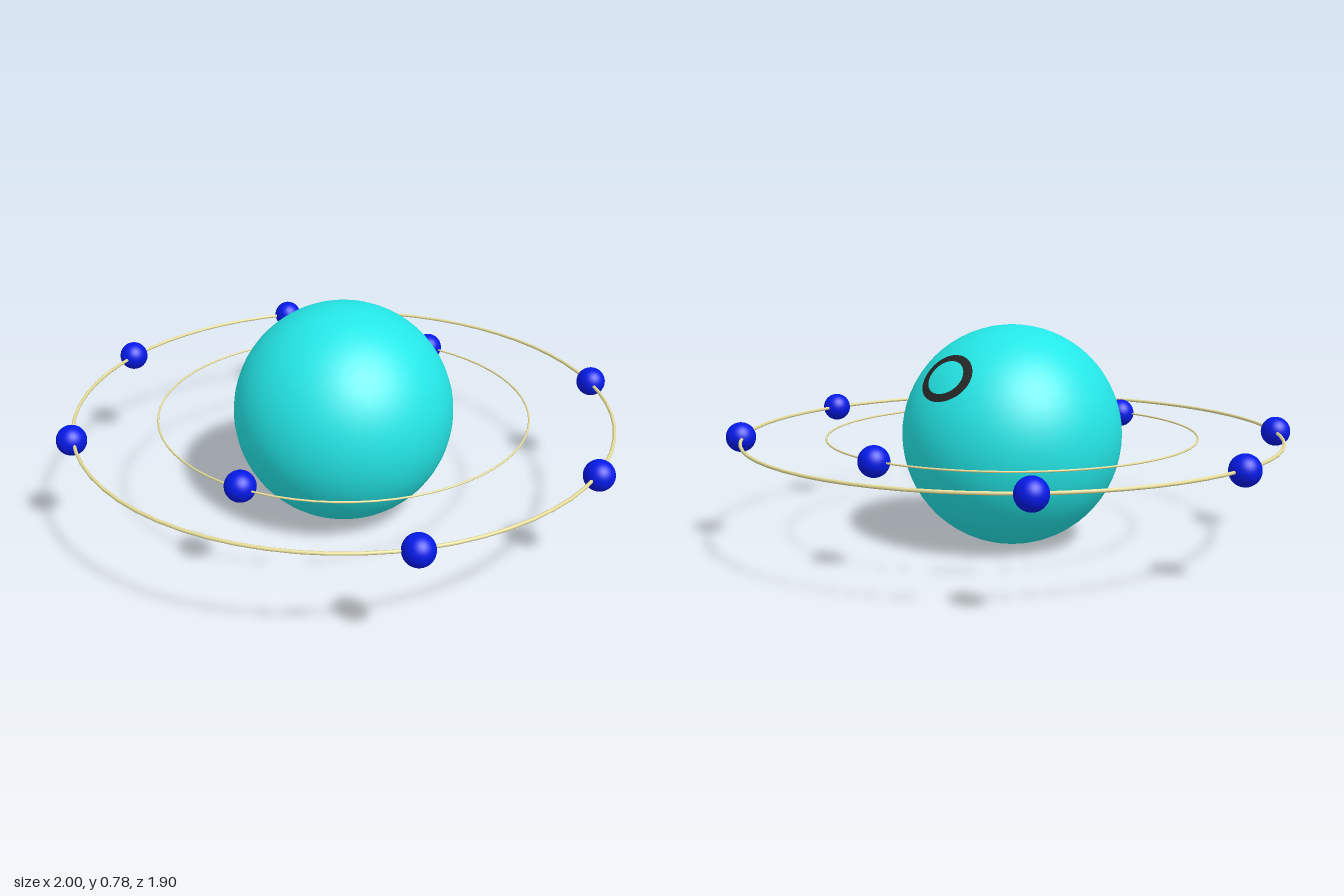
import * as THREE from 'three';

const CENTRE_Y = 0.39;
const NUCLEUS_R = 0.388;
const ELECTRON_R = 0.052;

function material(name, color) {
  const m = new THREE.MeshStandardMaterial({ color });
  m.name = name;
  return m;
}

function addMesh(parent, name, geometry, mat) {
  const mesh = new THREE.Mesh(geometry, mat);
  mesh.name = name;
  parent.add(mesh);
  return mesh;
}

// Thin oval band, facing local +z, pressed onto the nucleus surface
function surfaceBand(halfWidth, halfHeight, innerRatio) {
  const band = new THREE.RingGeometry(innerRatio, 1, 48, 4);
  band.scale(halfWidth, halfHeight, 1);
  const p = band.attributes.position;
  const R = NUCLEUS_R + 0.0015;
  for (let i = 0; i < p.count; i++) {
    p.setZ(i, Math.sqrt(R * R - p.getX(i) ** 2 - p.getY(i) ** 2));
  }
  band.computeVertexNormals();
  return band;
}

export function createModel() {
  const model = new THREE.Group();
  model.name = 'atomModel';

  const turquoise = material('turquoise', 0x25eaea);
  const blue = material('deepBlue', 0x041aea);
  const wire = material('paleYellowWire', 0xf0e6a0);
  const dark = material('charcoal', 0x262626);

  const atom = new THREE.Group();
  atom.name = 'atom';
  atom.position.y = CENTRE_Y;
  model.add(atom);

  // Central ball
  addMesh(atom, 'nucleus', new THREE.SphereGeometry(NUCLEUS_R, 48, 32), turquoise);

  // Dark oval ring marking on the upper back of the nucleus
  const mark = addMesh(atom, 'ringMarking', surfaceBand(0.112, 0.092, 0.7), dark);
  mark.lookAt(0.027, CENTRE_Y + 0.229, -0.305);

  // Orbits: wire ring plus the electrons riding on it, given as [x, z]
  const orbits = [
    { name: 'innerOrbit', radius: 0.652, tube: 0.0035, electrons: [[0, -0.657], [0, 0.64]] },
    {
      name: 'outerOrbit', radius: 0.943, tube: 0.006,
      electrons: [
        [-0.948, 0], [0.948, 0],
        [-0.67, -0.674], [0.67, -0.674],
        [-0.67, 0.67], [0.655, 0.686],
      ],
    },
  ];
  const electronGeometry = new THREE.SphereGeometry(ELECTRON_R, 32, 20);
  for (const { name, radius, tube, electrons } of orbits) {
    const orbit = new THREE.Group();
    orbit.name = name;
    atom.add(orbit);
    const ring = addMesh(orbit, name + 'Ring', new THREE.TorusGeometry(radius, tube, 8, 64), wire);
    ring.rotation.x = Math.PI / 2;
    electrons.forEach(([x, z], i) => {
      addMesh(orbit, 'electron' + (i + 1), electronGeometry, blue).position.set(x, 0, z);
    });
  }

  return model;
}
